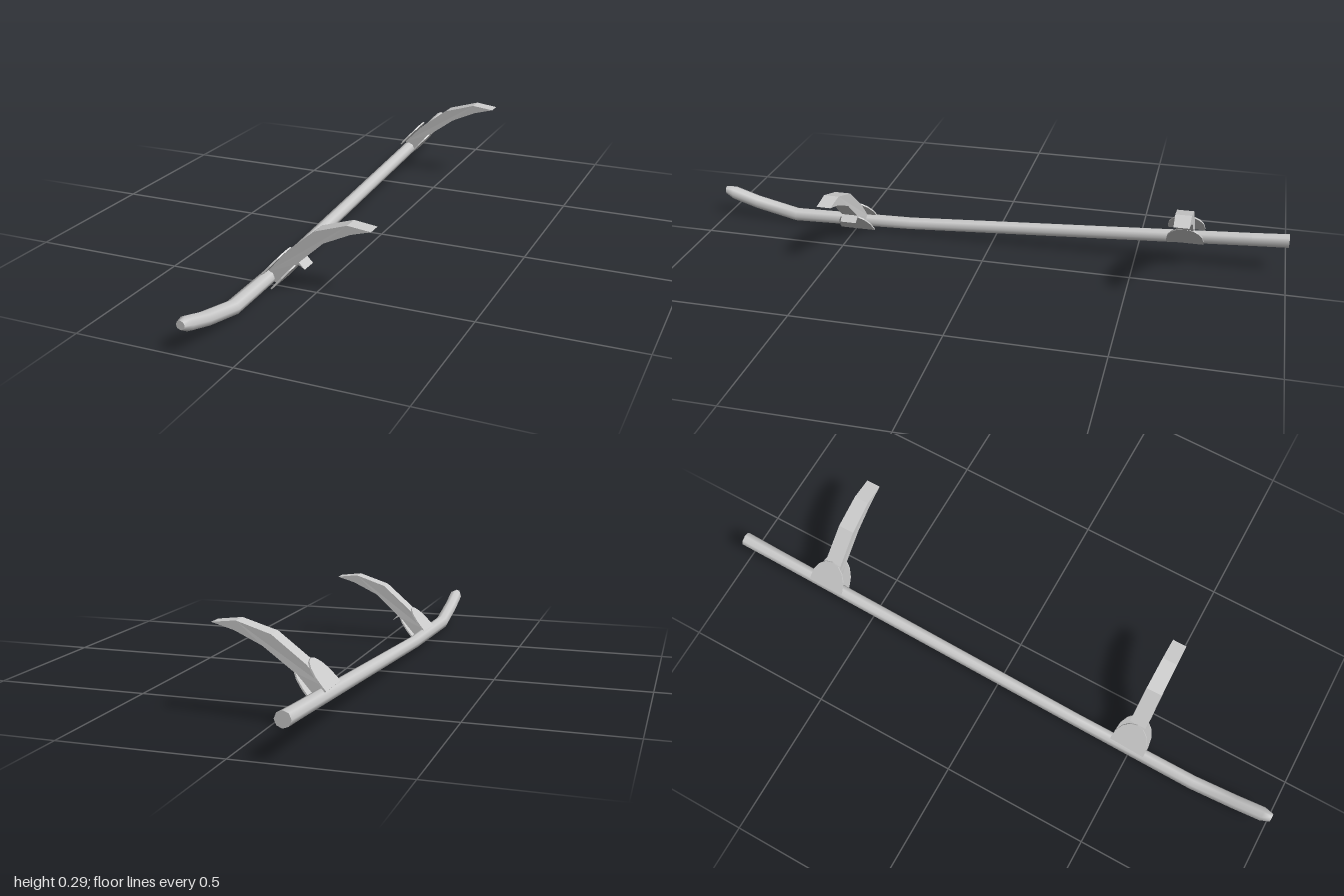
import * as THREE from 'three';

const material = new THREE.MeshStandardMaterial({ color: 0xcccccc, side: THREE.DoubleSide });
const flat = new THREE.MeshStandardMaterial({ color: 0xcccccc, side: THREE.DoubleSide, flatShading: true });

function add(parent, name, geometry, mat = flat) {
  const mesh = new THREE.Mesh(geometry, mat);
  mesh.name = name;
  parent.add(mesh);
  return mesh;
}

// Long runner: eight-sided rings along z, each station is [z, y, radius]
const SKID_X = -0.155;
const stations = [
  [1, 0.094, 0.014], [0.97, 0.086, 0.024], [0.88, 0.058, 0.024], [0.73, 0.025, 0.024],
  [0.3, 0.037, 0.022], [-0.88, 0.112, 0.023], [-1, 0.12, 0.024],
];
const SIDES = 8;

function runnerGeometry() {
  const pos = [], index = [];
  stations.forEach(([z, y, r], i) => {
    for (let j = 0; j < SIDES; j++) {
      const a = (j / SIDES) * Math.PI * 2;
      pos.push(SKID_X + r * Math.cos(a), y + r * Math.sin(a), z);
      if (i === 0) continue;
      const k = (j + 1) % SIDES, p = (i - 1) * SIDES, q = i * SIDES;
      index.push(p + j, q + j, q + k, p + j, q + k, p + k);
    }
  });
  const g = new THREE.BufferGeometry();
  g.setAttribute('position', new THREE.Float32BufferAttribute(pos, 3));
  g.setIndex(index);
  g.computeVertexNormals();
  return g;
}

// Curved leg: side profile extruded along z, slightly narrower at the tip
function legGeometry(points) {
  const shape = new THREE.Shape(points.map(([x, y]) => new THREE.Vector2(x, y)));
  const g = new THREE.ExtrudeGeometry(shape, { depth: 0.056, bevelEnabled: false });
  g.translate(0, 0, -0.028);
  const p = g.attributes.position;
  for (let i = 0; i < p.count; i++) {
    p.setZ(i, p.getZ(i) * (1 - 0.6 * Math.max(0, p.getX(i) + 0.05)));
  }
  g.computeVertexNormals();
  return g;
}

// Thin half-oval cuff plate lying along the sloping leg
function plateGeometry(x, y, length) {
  const shape = new THREE.Shape();
  shape.moveTo(-0.062, 0);
  for (let i = 8; i >= 0; i--) {
    const a = (i / 8) * Math.PI;
    shape.lineTo(0.062 * Math.cos(a), length * (0.12 + 0.88 * Math.sin(a)));
  }
  shape.lineTo(0.062, 0);
  const g = new THREE.ExtrudeGeometry(shape, { depth: 0.005, bevelEnabled: false });
  const along = new THREE.Vector3(0.66, 0.75, 0).normalize();
  const across = new THREE.Vector3(0, 0, 1);
  const m = new THREE.Matrix4().makeBasis(across, along, across.clone().cross(along));
  return g.applyMatrix4(m.setPosition(x, y, 0));
}

const supports = [
  {
    name: 'frontSupport', z: 0.488, plates: [0, 0],
    profile: [[-0.16, 0.046], [-0.125, 0.013], [-0.054, 0.093], [0.032, 0.171], [0.12, 0.212],
      [0.184, 0.23], [0.109, 0.239], [0.004, 0.205], [-0.095, 0.12]],
  },
  {
    name: 'rearSupport', z: -0.664, plates: [-0.011, 0.073],
    profile: [[-0.168, 0.122], [-0.135, 0.086], [-0.071, 0.16], [0.023, 0.228], [0.107, 0.266],
      [0.177, 0.285], [0.102, 0.294], [-0.004, 0.262], [-0.107, 0.184]],
  },
];

export function createModel() {
  const model = new THREE.Group();
  model.name = 'landingSkid';

  add(model, 'runner', runnerGeometry(), material);
  for (const [name, s, turn] of [['frontCap', stations[0], 0], ['rearCap', stations.at(-1), Math.PI]]) {
    const cap = add(model, name, new THREE.CircleGeometry(s[2], SIDES));
    cap.position.set(SKID_X, s[1], s[0]);
    cap.rotation.y = turn;
  }

  for (const { name, z, plates: [dx, dy], profile } of supports) {
    const group = new THREE.Group();
    group.name = name;
    group.position.z = z;
    add(group, 'leg', legGeometry(profile));
    add(group, 'upperPlate', plateGeometry(-0.161 + dx, 0.046 + dy, 0.1));
    add(group, 'lowerPlate', plateGeometry(-0.126 + dx, 0.009 + dy, 0.112));
    model.add(group);
  }

  // Small foot step under the front leg
  const step = new THREE.Shape([
    new THREE.Vector2(-0.058, 0.094), new THREE.Vector2(-0.03, 0.077), new THREE.Vector2(-0.05, 0.098),
  ]);
  const stepMesh = add(model, 'footStep', new THREE.ExtrudeGeometry(step, { depth: 0.056, bevelEnabled: false }));
  stepMesh.position.z = 0.46;

  return model;
}
